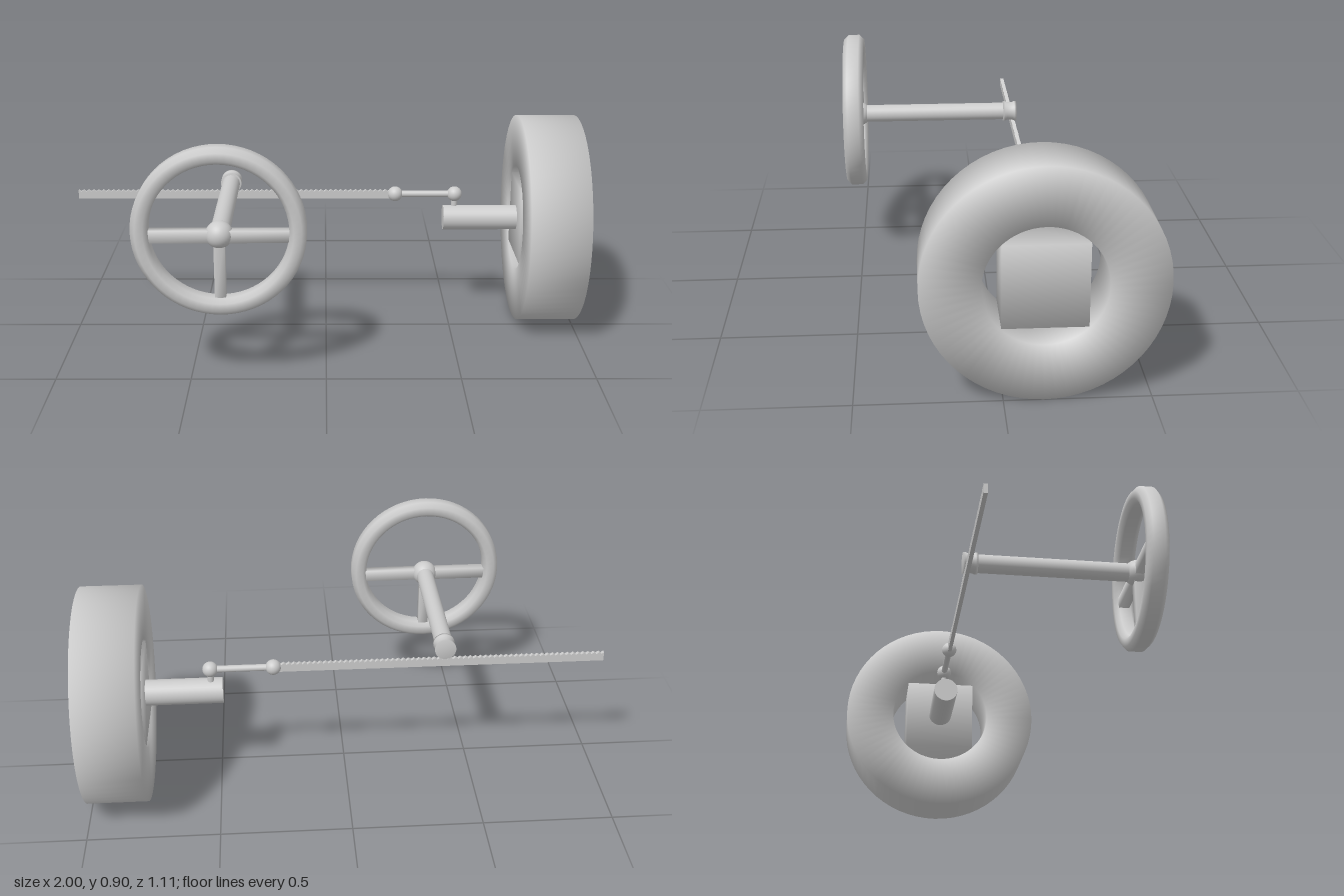
import * as THREE from 'three';
import { mergeVertices } from 'three/addons/utils/BufferGeometryUtils.js';

const material = new THREE.MeshStandardMaterial({ color: 0xcccccc });

// Share normals across edges for a soft, blended look
function soften(geometry) {
  geometry.deleteAttribute('normal');
  geometry.deleteAttribute('uv');
  const merged = mergeVertices(geometry, 1e-4);
  merged.computeVertexNormals();
  return merged;
}

// Closed ring around the y axis from an [r, y] outline, listed counter-clockwise
function ring(outline, segments) {
  const points = [...outline, outline[0]].map(([r, y]) => new THREE.Vector2(r, y));
  return soften(new THREE.LatheGeometry(points, segments));
}

export function createModel() {
  const model = new THREE.Group();
  function add(parent, name, geometry, x, y, z) {
    const mesh = new THREE.Mesh(geometry, material);
    mesh.name = name;
    mesh.position.set(x, y, z);
    parent.add(mesh);
    return mesh;
  }

  const axisY = 0.42, rackY = 0.518, rackZ = -0.143, wheelZ = -0.137;
  const columnX = -0.38, columnY = 0.575;

  // Road wheel: square-section tyre, square hub block and stub axle
  const roadWheel = new THREE.Group();
  roadWheel.name = 'roadWheel';
  model.add(roadWheel);
  const tyre = ring([[0.21, -0.115], [0.415, -0.115], [0.415, 0.115], [0.21, 0.115]], 64);
  add(roadWheel, 'tyre', tyre, 0.885, axisY, wheelZ).rotation.z = -Math.PI / 2;
  add(roadWheel, 'hubBlock', soften(new THREE.BoxGeometry(0.229, 0.296, 0.29)), 0.885, axisY, wheelZ);
  const axle = new THREE.CylinderGeometry(0.05, 0.05, 0.4, 32);
  add(roadWheel, 'stubAxle', axle, 0.675, axisY, wheelZ).rotation.z = Math.PI / 2;

  // Rack: thin bar with fine teeth along its top edge
  const rackShape = new THREE.Shape();
  rackShape.moveTo(-1, 0.5);
  rackShape.lineTo(0.28, 0.5);
  rackShape.lineTo(0.28, 0.536);
  for (let x = 0.26; x > -0.99; x -= 0.02) {
    rackShape.lineTo(x, 0.536);
    rackShape.lineTo(x - 0.01, 0.529);
  }
  rackShape.lineTo(-1, 0.536);
  const rack = new THREE.ExtrudeGeometry(rackShape, { depth: 0.015, bevelEnabled: false });
  add(model, 'rack', rack, 0, 0, rackZ - 0.0075);

  // Tie rod with a ball joint at each end, and a peg down to the axle
  const ball = new THREE.SphereGeometry(0.03, 24, 16);
  for (const x of [0.28, 0.52]) add(model, 'ballJoint', ball, x, rackY, rackZ);
  const rod = new THREE.CylinderGeometry(0.013, 0.013, 0.24, 20);
  add(model, 'tieRod', rod, 0.4, rackY, rackZ).rotation.z = Math.PI / 2;
  add(model, 'steeringPeg', new THREE.CylinderGeometry(0.012, 0.012, 0.07, 16), 0.52, 0.485, rackZ);

  // Steering column with the pinion at its far end
  const column = new THREE.CylinderGeometry(0.035, 0.035, 0.6, 32);
  add(model, 'steeringColumn', column, columnX, columnY, 0.2).rotation.x = Math.PI / 2;
  const pinionProfile = [[0, -0.028], [0.041, -0.028], [0.041, -0.019], [0.037, -0.01],
    [0.037, 0.01], [0.041, 0.019], [0.041, 0.028], [0, 0.028]];
  const pinion = new THREE.LatheGeometry(pinionProfile.map(([r, y]) => new THREE.Vector2(r, y)), 32);
  add(model, 'pinion', pinion, columnX, columnY, -0.128).rotation.x = Math.PI / 2;

  // Steering wheel: rim with eased edges, ball hub and three spokes
  const steeringWheel = new THREE.Group();
  steeringWheel.name = 'steeringWheel';
  model.add(steeringWheel);
  const rim = ring([[0.265, -0.04], [0.294, -0.04], [0.312, -0.022], [0.312, 0.022],
    [0.294, 0.04], [0.265, 0.04], [0.25, 0.022], [0.25, -0.022]], 64);
  add(steeringWheel, 'rim', rim, columnX, 0.592, 0.515).rotation.x = Math.PI / 2;
  add(steeringWheel, 'hub', new THREE.SphereGeometry(0.05, 32, 20), columnX, columnY, 0.505);
  add(steeringWheel, 'crossSpoke', soften(new THREE.BoxGeometry(0.54, 0.045, 0.04)), columnX, 0.573, 0.51);
  add(steeringWheel, 'lowerSpoke', soften(new THREE.BoxGeometry(0.04, 0.25, 0.04)), columnX, 0.445, 0.51);

  return model;
}
